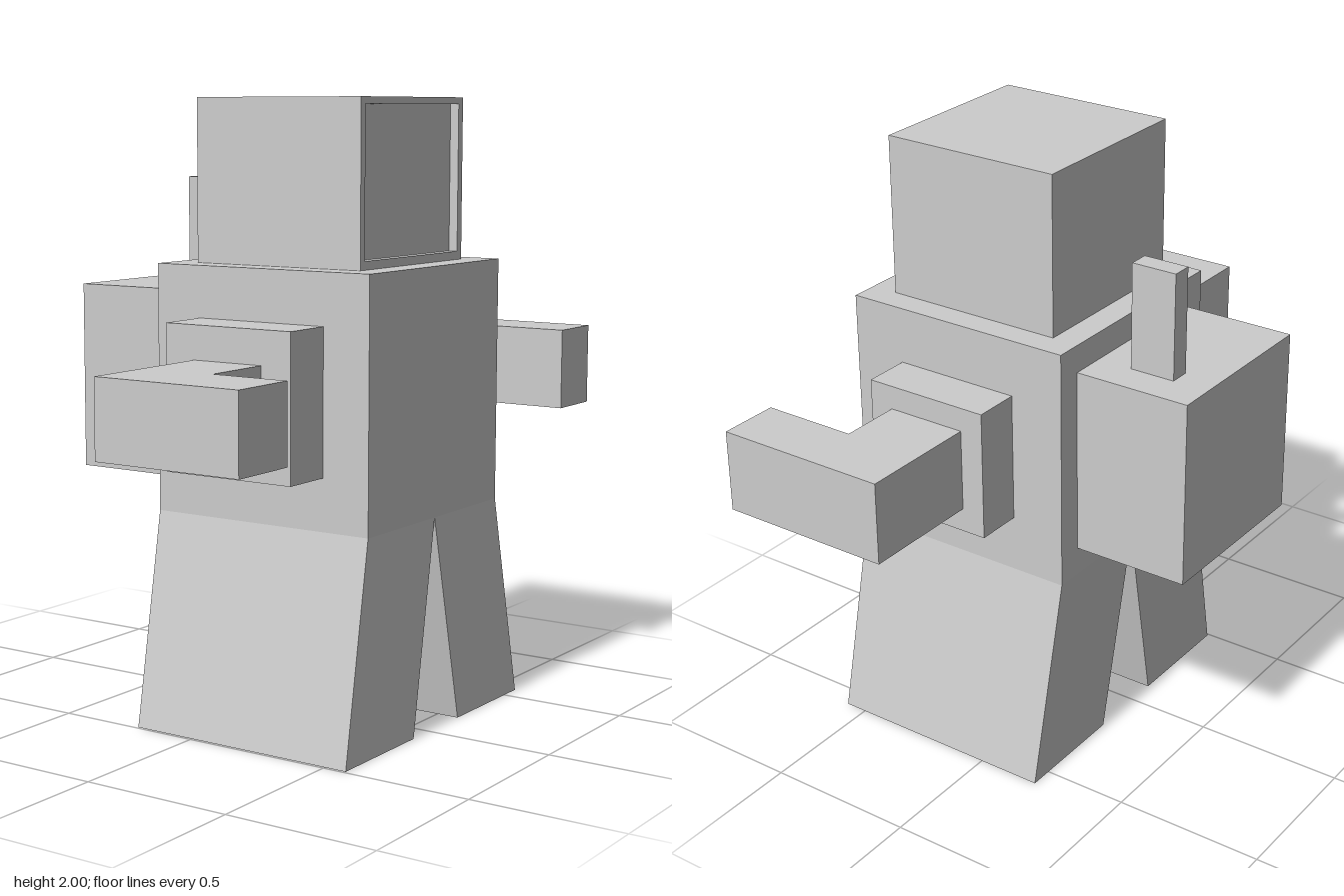
import * as THREE from 'three';

const grey = new THREE.MeshStandardMaterial({ color: 0xcccccc });
grey.name = 'light grey';

export function createModel() {
  const model = new THREE.Group();
  model.name = 'blockFigure';

  const add = (name, geometry) => {
    const mesh = new THREE.Mesh(geometry, grey);
    mesh.name = name;
    model.add(mesh);
    return mesh;
  };

  // Box given by its lower and upper limits on each axis
  const boxGeometry = (x0, x1, y0, y1, z0, z1) =>
    new THREE.BoxGeometry(x1 - x0, y1 - y0, z1 - z0)
      .translate((x0 + x1) / 2, (y0 + y1) / 2, (z0 + z1) / 2);
  const addBox = (name, ...limits) => add(name, boxGeometry(...limits));

  // Torso
  addBox('torso', -0.23, 0.56, 0.685, 1.48, -0.44, 0.35);

  // Legs: boxes whose feet are shifted outwards
  const addLeg = (name, z0, z1, footShift) => {
    const geometry = boxGeometry(-0.23, 0.56, 0, 0.685, z0, z1);
    const p = geometry.attributes.position;
    for (let i = 0; i < p.count; i++) {
      if (p.getY(i) < 0.3) {
        p.setX(i, p.getX(i) + 0.015);
        p.setZ(i, p.getZ(i) + footShift);
      }
    }
    geometry.computeVertexNormals();
    add(name, geometry);
  };
  addLeg('rightLeg', -0.045, 0.35, 0.142);
  addLeg('leftLeg', -0.44, -0.045, -0.136);

  // Head with a framed, sunken face plate on the +x side
  addBox('head', -0.14, 0.44, 1.48, 2, -0.352, 0.26);
  const frame = new THREE.Shape([
    [-0.352, 1.48], [0.26, 1.48], [0.26, 2], [-0.352, 2],
  ].map(([z, y]) => new THREE.Vector2(z, y)));
  frame.holes.push(new THREE.Path([
    [-0.325, 1.507], [-0.325, 1.978], [0.235, 1.978], [0.235, 1.507],
  ].map(([z, y]) => new THREE.Vector2(z, y))));
  add('faceFrame', new THREE.ExtrudeGeometry(frame, { depth: 0.03, bevelEnabled: false })
    .rotateY(-Math.PI / 2).translate(0.47, 0, 0));

  // Backpack and its antenna
  addBox('backpack', -0.62, -0.23, 0.78, 1.39, -0.355, 0.252);
  addBox('antenna', -0.5, -0.348, 1.39, 1.735, -0.24, -0.172);

  // Shoulder plates
  addBox('rightShoulder', -0.065, 0.397, 0.852, 1.315, 0.35, 0.525);
  addBox('leftShoulder', -0.047, 0.38, 0.87, 1.295, -0.595, -0.44);

  // Arms: L-shaped in plan, bent towards +x
  const addArm = (name, x0, x1, xHand, zShoulder, zElbow, zEnd, y0, y1) => {
    const outline = new THREE.Shape([
      [x0, zShoulder], [x1, zShoulder], [x1, zElbow],
      [xHand, zElbow], [xHand, zEnd], [x0, zEnd],
    ].map(([x, z]) => new THREE.Vector2(x, z)));
    add(name, new THREE.ExtrudeGeometry(outline, { depth: y1 - y0, bevelEnabled: false })
      .rotateX(Math.PI / 2).translate(0, y1, 0));
  };
  addArm('rightArm', 0.042, 0.29, 0.55, 0.525, 0.765, 1, 0.96, 1.207);
  addArm('leftArm', 0.032, 0.3, 0.615, -0.595, -0.8, -1, 0.948, 1.217);

  return model;
}
